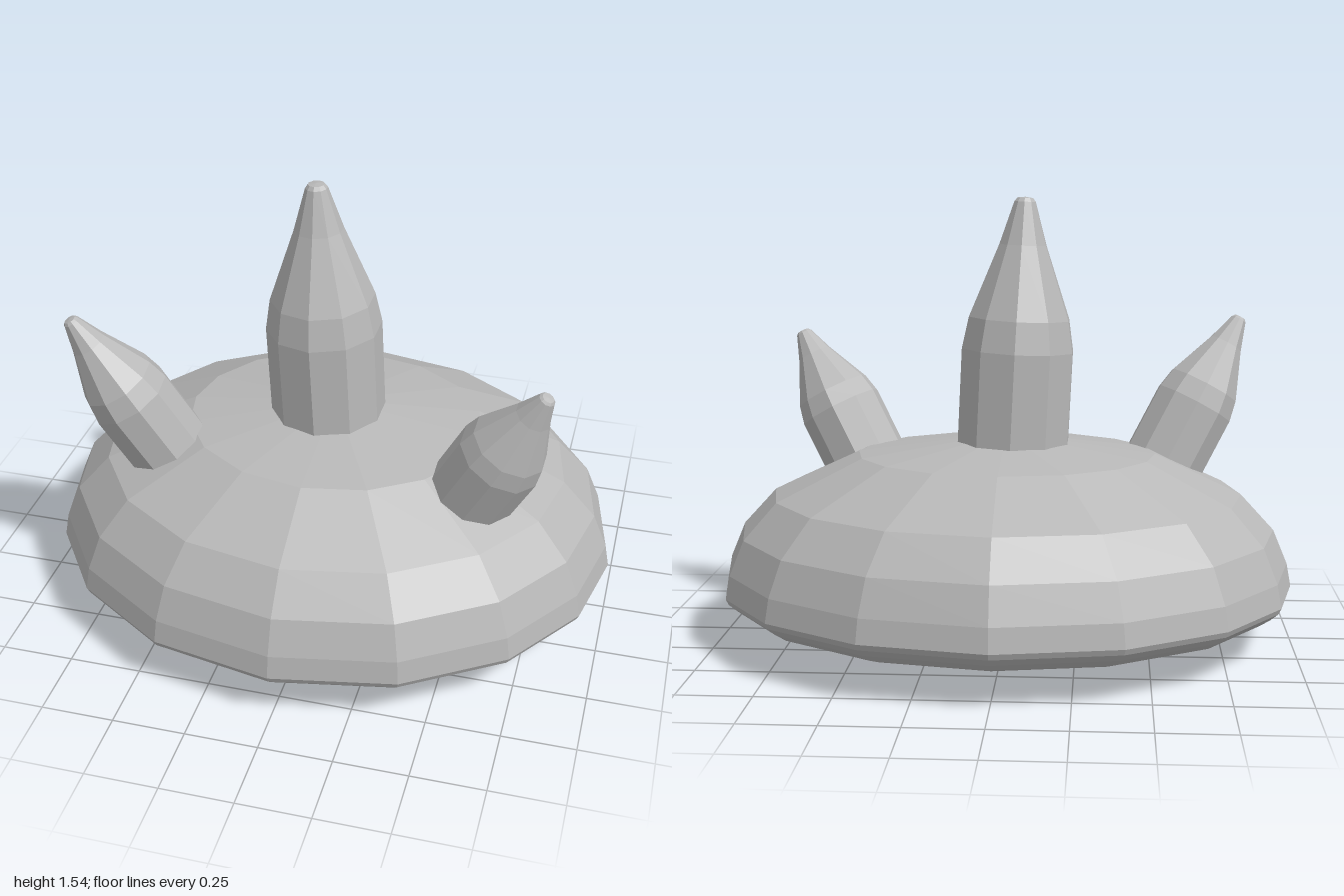
import * as THREE from 'three';

const stone = new THREE.MeshStandardMaterial({ color: 0xb8b8b8, flatShading: true });
stone.name = 'grey';

const lathe = (points, sides) =>
  new THREE.LatheGeometry(points.map(([r, y]) => new THREE.Vector2(r, y)), sides);

// Oval mound: a faceted dome over a shallow conical underside
function makeMound() {
  const geo = lathe([
    [0, 0], [0.86, 0.1], [0.92, 0.12], [0.96, 0.145], [0.99, 0.17], [1, 0.19],
    [0.985, 0.27], [0.935, 0.39], [0.82, 0.515], [0.52, 0.655], [0, 0.725],
  ], 16);
  // Squash in z and ease the facets slightly toward the sides
  const p = geo.attributes.position;
  for (let i = 0; i < p.count; i++) {
    const r = Math.hypot(p.getX(i), p.getZ(i));
    let a = Math.atan2(p.getX(i), p.getZ(i));
    a += 0.05 * Math.sin(2 * a);
    p.setX(i, r * Math.sin(a));
    p.setZ(i, 0.88 * r * Math.cos(a));
  }
  geo.computeVertexNormals();
  const mesh = new THREE.Mesh(geo, stone);
  mesh.name = 'mound';
  return mesh;
}

// Spire: straight shaft, tapered shoulder and blunt tip, sunk a little into the mound
function makeSpire(name, base, tip, radius) {
  const from = new THREE.Vector3(...base);
  const axis = new THREE.Vector3(...tip).sub(from);
  const length = axis.length();
  const profile = [
    [0, -0.12], [1, -0.12], [1, 0.38], [0.9, 0.51], [0.42, 0.81], [0.19, 0.985], [0.14, 1], [0, 1.004],
  ].map(([r, t]) => [r * radius, t * length]);
  const mesh = new THREE.Mesh(lathe(profile, 10), stone);
  mesh.name = name;
  mesh.position.copy(from);
  mesh.quaternion.setFromUnitVectors(new THREE.Vector3(0, 1, 0), axis.normalize());
  return mesh;
}

export function createModel() {
  const group = new THREE.Group();
  group.name = 'spikedMound';
  group.add(
    makeMound(),
    makeSpire('centreSpire', [-0.025, 0.7, 0], [-0.065, 1.54, 0], 0.2),
    makeSpire('rightSpire', [-0.565, 0.605, 0.22], [-0.83, 1.105, 0.33], 0.147),
    makeSpire('leftSpire', [0.54, 0.6, 0.24], [0.775, 1.045, 0.325], 0.15),
  );
  return group;
}
